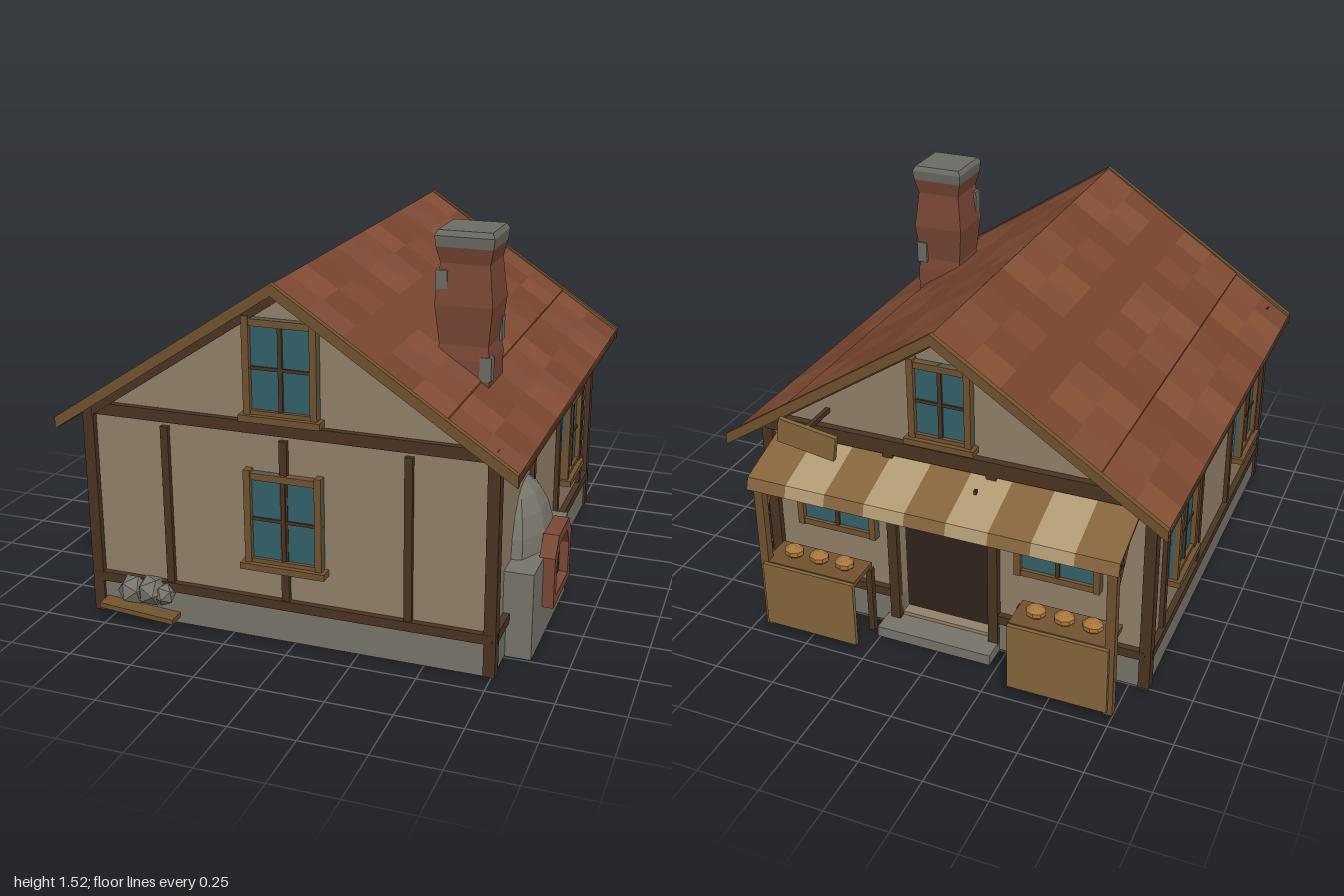
import * as THREE from 'three';

const mat = (color, side = THREE.FrontSide) => new THREE.MeshStandardMaterial({ color, flatShading: true, side });
const M = {
  wall: mat(0x93816a), stone: mat(0x77756a), wood: mat(0x4a3422), lightWood: mat(0x72532f), glass: mat(0x34616a),
  brick: mat(0x7a4836), dark: mat(0x2a1d16), cap: mat(0x6c6b64), counter: mat(0x86663a), bread: mat(0xa9783c),
  cream: mat(0xb09a72), tan: mat(0x86643c), ceiling: mat(0x55331f), iron: mat(0x2e3a3c),
};
const ROOF = [0x7f4a32, 0x7a462f, 0x854e35, 0x804c36, 0x78442e].map(c => mat(c));

function add(parent, name, geo, material, x = 0, y = 0, z = 0) {
  const m = new THREE.Mesh(geo, material);
  m.name = name;
  m.position.set(x, y, z);
  parent.add(m);
  return m;
}
// Box given by its extents
function box(parent, name, material, x0, x1, y0, y1, z0, z1) {
  return add(parent, name, new THREE.BoxGeometry(x1 - x0, y1 - y0, z1 - z0), material,
    (x0 + x1) / 2, (y0 + y1) / 2, (z0 + z1) / 2);
}
// Square beam between two points
function beam(parent, name, material, a, b, t = 0.03) {
  const A = new THREE.Vector3(...a), B = new THREE.Vector3(...b);
  const m = add(parent, name, new THREE.BoxGeometry(t, t, A.distanceTo(B)), material);
  m.position.copy(A).add(B).multiplyScalar(0.5);
  m.lookAt(B);
  return m;
}
const poly = pts => new THREE.Shape(pts.map(p => new THREE.Vector2(...p)));
const extrude = (shape, depth) => new THREE.ExtrudeGeometry(shape, { depth, bevelEnabled: false });

// Framed window, built facing +z and then turned
function windowUnit(parent, name, w, h, x, y, z, turn, sill = true) {
  const g = new THREE.Group(), f = 0.026;
  g.name = name;
  box(g, 'glass', M.glass, -w / 2, w / 2, -h / 2, h / 2, -0.01, 0.015);
  for (const s of [-1, 1]) {
    const cx = s * (w / 2 - f / 2), cy = s * (h / 2 - f / 2);
    box(g, 'frameSide', M.lightWood, cx - f / 2, cx + f / 2, -h / 2, h / 2 + 0.01, -0.01, 0.035);
    box(g, 'frameRail', M.lightWood, -w / 2, w / 2, cy - f / 2, cy + f / 2, -0.01, 0.03);
  }
  box(g, 'mullion', M.wood, -0.008, 0.008, -h / 2, h / 2, 0, 0.025);
  box(g, 'crossBar', M.wood, -w / 2, w / 2, -0.006, 0.006, 0, 0.022);
  if (sill) box(g, 'sill', M.lightWood, -w / 2 - 0.015, w / 2 + 0.015, -h / 2 - 0.015, -h / 2 + 0.01, -0.01, 0.05);
  g.position.set(x, y, z);
  g.rotation.y = turn;
  parent.add(g);
}

const X0 = -0.81, X1 = 0.745, Z0 = -0.74, Z1 = 0.9, CX = -0.03, HALF = 0.87, RIDGE = 1.385;
const roofY = d => RIDGE - 0.575 * d / HALF;

function addWalls(house) {
  box(house, 'floor', M.dark, X0, X1, 0.008, 0.04, Z0, Z1);
  box(house, 'ceiling', M.ceiling, X0, X1, 0.8, 0.82, Z0 + 0.05, Z1 - 0.05);
  for (const [a, b] of [[X0, X0 + 0.05], [X1 - 0.05, X1]]) box(house, 'sideWall', M.wall, a, b, 0.03, 0.83, Z0, Z1);
  const outline = () => poly([[X0, 0.03], [X1, 0.03], [X1, 0.84], [CX, 1.355], [X0, 0.84]]);
  add(house, 'frontWall', extrude(outline(), 0.05), M.wall, 0, 0, Z1 - 0.05);
  const back = outline();
  back.holes.push(poly([[-0.18, 0.06], [-0.18, 0.7], [0.2, 0.7], [0.2, 0.06]]));
  add(house, 'backWall', extrude(back, 0.05), M.wall, 0, 0, Z0);
  // Stone footing as a ring of blocks
  for (const [a, b] of [[X0 - 0.012, X0 + 0.05], [X1 - 0.05, X1 + 0.012]])
    box(house, 'footing', M.stone, a, b, 0.005, 0.14, Z0 - 0.01, Z1 + 0.01);
  box(house, 'footing', M.stone, X0, X1, 0.005, 0.14, Z1 - 0.05, Z1 + 0.012);
  for (const [a, b] of [[X0, -0.18], [0.2, X1]]) box(house, 'footing', M.stone, a, b, 0.005, 0.14, Z0 - 0.012, Z0 + 0.05);
  box(house, 'doorStep', M.stone, -0.22, 0.26, 0, 0.045, -0.85, Z0);
}

function addTimber(house) {
  // Corner posts
  for (const x of [X0, X1]) for (const z of [Z0, Z1])
    box(house, 'cornerPost', M.wood, x - 0.022, x + 0.022, 0.01, 0.84, z - 0.024, z + 0.024);
  // Sill and top beams
  for (const [y0, y1] of [[0.138, 0.175], [0.82, 0.865]]) {
    box(house, 'frontBeam', M.wood, X0 - 0.01, X1 + 0.01, y0, y1, Z1, Z1 + 0.025);
    for (const x of [X0, X1]) box(house, 'sideBeam', M.wood, x - 0.025, x + 0.025, y0, Math.min(y1, 0.845), Z0, Z1);
  }
  box(house, 'backBeam', M.wood, X0, X1, 0.8, 0.86, Z0 - 0.03, Z0);
  for (const [a, b] of [[X0, -0.2], [0.22, X1]]) box(house, 'backSill', M.wood, a, b, 0.138, 0.175, Z0 - 0.025, Z0);
  // Studs
  for (const x of [-0.5, -0.03, 0.44]) box(house, 'frontStud', M.wood, x - 0.015, x + 0.015, 0.17, 0.8, Z1, Z1 + 0.018);
  for (const z of [-0.58, -0.11, 0.36]) for (const x of [X0, X1])
    box(house, 'sideStud', M.wood, x - 0.018, x + 0.018, 0.17, 0.82, z - 0.016, z + 0.016);
  for (const x of [-0.2, 0.22]) box(house, 'doorPost', M.wood, x - 0.02, x + 0.02, 0.03, 0.8, Z0 - 0.03, Z0);
  box(house, 'doorLintel', M.wood, -0.22, 0.24, 0.7, 0.74, Z0 - 0.03, Z0);
}

function addWindows(house) {
  windowUnit(house, 'frontWindow', 0.3, 0.36, -0.03, 0.49, Z1, 0);
  windowUnit(house, 'frontGableWindow', 0.28, 0.36, -0.03, 1.065, Z1, 0);
  windowUnit(house, 'backGableWindow', 0.25, 0.32, 0, 1.05, Z0, Math.PI);
  windowUnit(house, 'leftWindow', 0.26, 0.34, X1, 0.49, -0.335, Math.PI / 2);
  for (const z of [-0.36, 0.61]) windowUnit(house, 'rightWindow', 0.26, 0.34, X0, 0.49, z, -Math.PI / 2);
  for (const x of [-0.46, 0.46]) windowUnit(house, 'shopWindow', 0.34, 0.27, x, 0.53, Z0, Math.PI, false);
}

function addRoof(house) {
  const roof = new THREE.Group();
  roof.name = 'roof';
  house.add(roof);
  // Strip of roof between two distances from the ridge
  const strip = (name, s, d0, d1, z0, z1, lift, thick, material) => {
    const p = [[d0, lift], [d1, lift], [d1, lift - thick], [d0, lift - thick]].map(([d, o]) => [CX + s * d, roofY(d) + o]);
    add(roof, name, extrude(poly(p), z1 - z0), material, 0, 0, z0);
  };
  const rows = 7, cols = 12, zA = -0.87, zB = 0.98, dz = (zB - zA) / cols;
  for (const s of [-1, 1]) {
    strip('roofDeck', s, 0, HALF, zA, zB, -0.008, 0.022, M.ceiling);
    for (let r = 0; r < rows; r++) for (let c = 0; c < cols; c++) {
      const lift = r < 5 ? 0.004 : -0.003;
      strip('shingles', s, HALF * r / rows, HALF * (r + 1) / rows, zA + dz * c, zA + dz * (c + 1), lift, 0.012,
        ROOF[(r * 7 + c * 3 + r * c + (s > 0 ? 2 : 0)) % 5]);
    }
    // Barge boards and rafters under the gable edges
    for (const [a, b] of [[-0.89, -0.868], [0.975, 0.998]]) strip('bargeBoard', s, 0, HALF + 0.005, a, b, 0.01, 0.045, M.lightWood);
    for (const [a, b] of [[Z0 - 0.03, Z0], [Z1, Z1 + 0.03]]) strip('rafter', s, 0, 0.76, a, b, -0.028, 0.04, M.wood);
    strip('eaveBoard', s, HALF - 0.02, HALF, zA, zB, -0.012, 0.025, M.wood);
  }
}

function addChimney(house) {
  // Square stack with bulging courses
  const r = [[0.1, 0.88], [0.1, 1.05], [0.092, 1.1], [0.108, 1.25], [0.092, 1.4], [0.106, 1.46]];
  const pts = r.map(([w, y]) => new THREE.Vector2(w * Math.SQRT2, y));
  const stack = add(house, 'chimneyStack', new THREE.LatheGeometry(pts, 4, Math.PI / 4), M.brick, 0.52, 0, 0.44);
  const capPts = [[0.106, 1.46], [0.11, 1.5], [0.1, 1.52], [0, 1.52]].map(([w, y]) => new THREE.Vector2(w * Math.SQRT2, y));
  add(house, 'chimneyCap', new THREE.LatheGeometry(capPts, 4, Math.PI / 4), M.cap).position.copy(stack.position);
  // Exposed stones at the corners
  for (const [x, y, z] of [[0.605, 1.02, 0.52], [0.6, 1.13, 0.355], [0.435, 1.33, 0.52]])
    box(house, 'chimneyStone', M.cap, x - 0.022, x + 0.022, y - 0.045, y + 0.045, z - 0.022, z + 0.022);
}

function addOven(house) {
  box(house, 'ovenBase', M.stone, 0.5, 0.855, 0, 0.34, 0.15, 0.74);
  const dome = add(house, 'ovenDome', new THREE.SphereGeometry(1, 9, 5, 0, Math.PI * 2, 0, Math.PI / 2), M.stone, 0.715, 0.33, 0.44);
  dome.scale.set(0.14, 0.265, 0.22);
  const arch = (w, b, t) => poly([[-w, b], [w, b], [w, t - 0.07], [w * 0.6, t], [-w * 0.6, t], [-w, t - 0.07]]);
  const mouth = arch(0.145, 0.14, 0.41);
  mouth.holes.push(arch(0.105, 0.175, 0.37));
  add(house, 'ovenMouth', extrude(mouth, 0.06), M.brick, 0.838, 0, 0.44).rotation.y = Math.PI / 2;
  add(house, 'ovenOpening', extrude(arch(0.115, 0.165, 0.38), 0.025), M.dark, 0.838, 0, 0.44).rotation.y = Math.PI / 2;
}

function addShopFront(house) {
  // Striped awning, each stripe a sloping slab with a short valance
  const n = 9, a0 = -0.77, w = 1.47 / n;
  for (let i = 0; i < n; i++) {
    const m = i % 2 ? M.cream : M.tan, x = a0 + w * i;
    const side = poly([[-0.73, 0.8], [-0.985, 0.712], [-1, 0.665], [-0.993, 0.665], [-0.978, 0.702], [-0.73, 0.787]].map(([z, y]) => [-z, y]));
    add(house, 'awningStripe', extrude(side, w), m, x, 0, 0).rotation.y = Math.PI / 2;
  }
  beam(house, 'awningBeam', M.wood, [-0.77, 0.69, -0.955], [0.7, 0.69, -0.955]);
  for (const [x, s] of [[0.67, 1], [-0.74, -1]]) {
    box(house, 'awningPost', M.lightWood, x - 0.018, x + 0.018, 0.03, 0.7, -0.975, -0.94);
    beam(house, 'awningBrace', M.lightWood, [x, 0.74, -0.8], [x, 0.55, -0.955], 0.024);
    beam(house, 'awningRafter', M.wood, [x, 0.77, -0.74], [x, 0.69, -0.96], 0.025);
    // Counter with front panel, inner leg and loaves
    const inner = x - s * 0.39, [l, r] = [Math.min(x, inner), Math.max(x, inner)];
    box(house, 'counterTop', M.lightWood, l, r, 0.315, 0.335, -0.975, -0.83);
    box(house, 'counterPanel', M.counter, l, r, 0.05, 0.33, -0.99, -0.972);
    box(house, 'counterLeg', M.wood, inner - 0.012, inner + 0.012, 0.03, 0.32, -0.86, -0.835);
    for (let i = 0; i < 3; i++)
      add(house, 'loaf', new THREE.SphereGeometry(1, 8, 5), M.bread, x - s * (0.09 + i * 0.11), 0.355, -0.9).scale.set(0.042, 0.028, 0.036);
  }
  // Hanging board on the gable
  const board = box(house, 'hangingBoard', M.counter, 0.36, 0.6, 0.83, 0.93, -0.91, -0.89);
  board.rotation.z = 0.15;
  beam(house, 'boardBracket', M.wood, [0.48, 0.92, -0.74], [0.48, 0.92, -0.9], 0.018);
  // Lantern
  box(house, 'lanternHook', M.wood, -0.175, -0.165, 0.72, 0.78, -0.845, -0.835);
  add(house, 'lanternTop', new THREE.CylinderGeometry(0.02, 0.055, 0.03, 4, 1, false, Math.PI / 4), M.iron, -0.17, 0.715, -0.84);
  add(house, 'lanternBody', new THREE.CylinderGeometry(0.048, 0.055, 0.07, 4, 1, false, Math.PI / 4), M.glass, -0.17, 0.67, -0.84);
}

function addRocks(house) {
  const plank = box(house, 'plank', M.lightWood, -0.78, -0.47, 0.04, 0.06, Z1 + 0.01, 0.98);
  plank.rotation.z = -0.07;
  for (const [x, y, r, t] of [[-0.65, 0.13, 0.062, 0.4], [-0.57, 0.14, 0.062, 1.3], [-0.52, 0.13, 0.045, 2.2]]) {
    const rock = add(house, 'rock', new THREE.IcosahedronGeometry(r, 0), M.stone, x, y, 0.94);
    rock.rotation.set(t, t * 2, 0);
  }
}

export function createModel() {
  const house = new THREE.Group();
  house.name = 'bakeryCottage';
  for (const build of [addWalls, addTimber, addWindows, addRoof, addChimney, addOven, addShopFront, addRocks]) build(house);
  return house;
}
